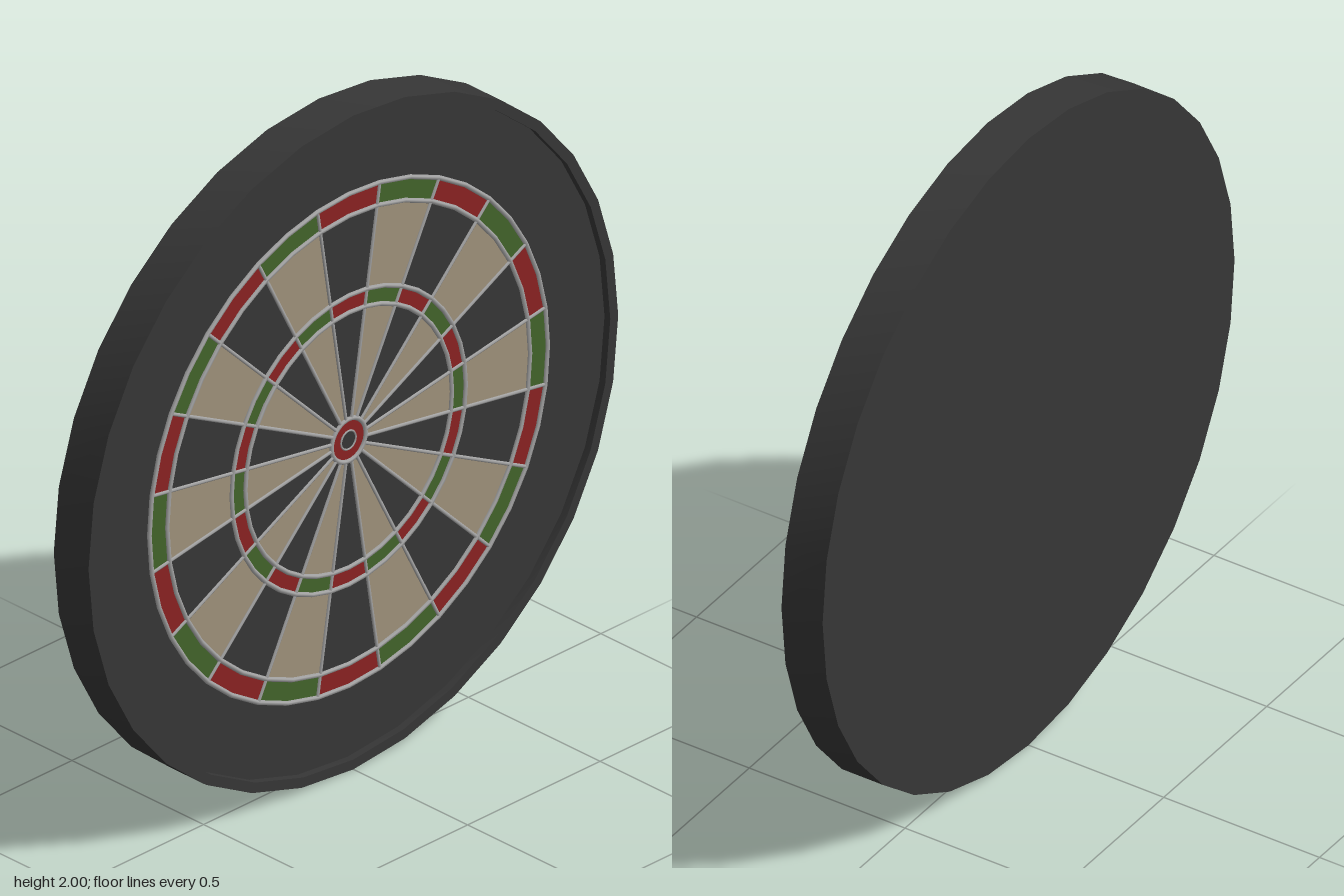
import * as THREE from 'three';
import { toCreasedNormals } from 'three/addons/utils/BufferGeometryUtils.js';

const paint = (name, color) => {
  const m = new THREE.MeshStandardMaterial({ color });
  m.name = name;
  return m;
};

export function createModel() {
  const dark = paint('charcoal', 0x363636);
  const cream = paint('cream', 0x9f917a);
  const red = paint('red', 0x8a2222);
  const green = paint('green', 0x42642a);
  const steel = paint('wire grey', 0xa4a4a4);

  const HALF = 0.066, FACE = 0.044, PLATE = FACE + 0.003;
  const WIRE = 0.007, SECTORS = 20, STEP = (Math.PI * 2) / SECTORS;
  const [BULL_IN, BULL, TREBLE_IN, TREBLE, DOUBLE_IN, DOUBLE] = [0.028, 0.064, 0.39, 0.442, 0.685, 0.752];

  const model = new THREE.Group();
  model.name = 'dartboard';
  const board = new THREE.Group();
  board.name = 'board';
  board.position.y = 1;
  model.add(board);

  const add = (name, geometry, material, z = 0) => {
    const mesh = new THREE.Mesh(geometry, material);
    mesh.name = name;
    mesh.position.z = z;
    board.add(mesh);
    return mesh;
  };

  // Backing disc with a raised rim around a recessed face
  const profile = [[0, -HALF], [1, -HALF], [1, HALF], [0.97, HALF], [0.97, FACE], [0, FACE]]
    .map(([r, y]) => new THREE.Vector2(r, y));
  const body = new THREE.LatheGeometry(profile, 32).rotateX(Math.PI / 2);
  add('backingDisc', toCreasedNormals(body, 0.6), dark);

  // Coloured scoring fields, alternating around the board
  for (let i = 0; i < SECTORS; i++) {
    const start = (i - 0.5) * STEP;
    const field = (name, inner, outer, material) =>
      add(name, new THREE.RingGeometry(inner, outer, 2, 1, start, STEP), material, PLATE);
    const single = i % 2 ? dark : cream;
    const bonus = i % 2 ? red : green;
    field('innerSingle', BULL, TREBLE_IN, single);
    field('trebleField', TREBLE_IN, TREBLE, bonus);
    field('outerSingle', TREBLE, DOUBLE_IN, single);
    field('doubleField', DOUBLE_IN, DOUBLE, bonus);

    // Radial divider wire
    const length = DOUBLE - BULL;
    const spoke = new THREE.CylinderGeometry(WIRE * 0.8, WIRE * 0.8, length, 6)
      .translate(0, BULL + length / 2, 0)
      .rotateZ(start - Math.PI / 2);
    add('dividerWire', spoke, steel, PLATE);
  }

  // Bullseye
  add('bullCentre', new THREE.CircleGeometry(BULL_IN, 20), dark, PLATE);
  add('bullRing', new THREE.RingGeometry(BULL_IN, BULL, 20), red, PLATE);

  // Ring wires
  for (const r of [BULL, TREBLE_IN, TREBLE, DOUBLE_IN, DOUBLE]) {
    add('ringWire', new THREE.TorusGeometry(r, WIRE, 6, 40), steel, PLATE);
  }
  add('bullWire', new THREE.TorusGeometry(BULL_IN, 0.003, 6, 20), steel, PLATE);

  return model;
}
